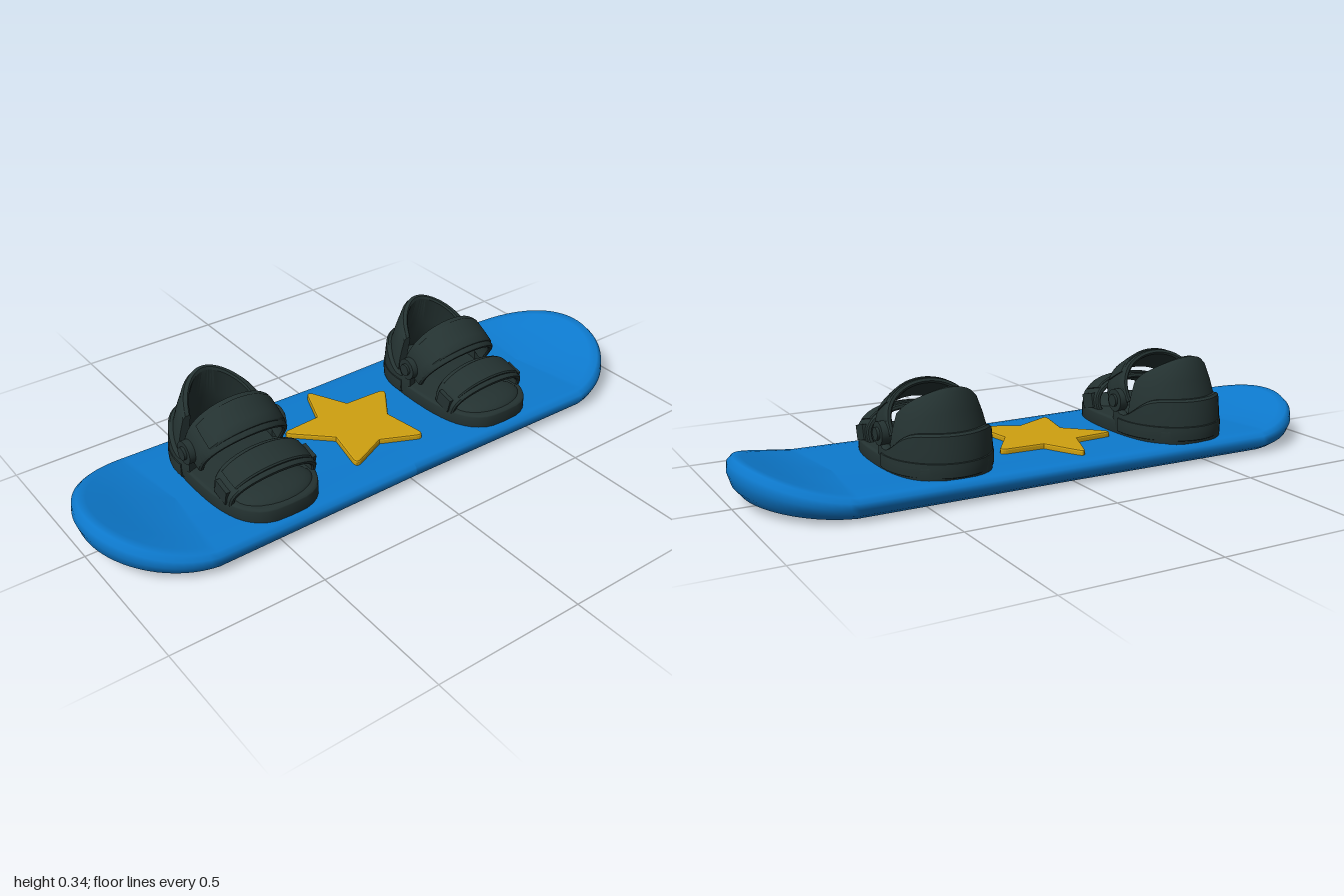
import * as THREE from 'three';
import { toCreasedNormals } from 'three/addons/utils/BufferGeometryUtils.js';

const mat = (name, color) => Object.assign(new THREE.MeshStandardMaterial({ color }), { name });

function part(parent, name, geometry, material, x = 0, y = 0, z = 0) {
  const m = new THREE.Mesh(geometry, material);
  m.name = name;
  m.position.set(x, y, z);
  parent.add(m);
  return m;
}

// Chamfered cross-section: a runs across the band, b through its thickness
const SECTION = [[-1, -0.5], [-0.92, -1], [0, -1], [0.92, -1], [1, -0.5],
  [1, 0.5], [0.9, 1], [0.4, 1.1], [0, 1.15], [-0.4, 1.1], [-0.9, 1], [-1, 0.5]];

// Closed solid swept through steps of u (0..1); f(u, a, b) returns [x, y, z]
function sweep(steps, f) {
  const k = SECTION.length, pos = [], idx = [];
  for (let i = 0; i <= steps; i++) for (const [a, b] of SECTION) pos.push(...f(i / steps, a, b));
  for (let i = 0; i < steps; i++) {
    for (let j = 0; j < k; j++) {
      const p = i * k + j, q = i * k + (j + 1) % k;
      idx.push(p, q, p + k, q, q + k, p + k);
    }
  }
  const end = steps * k;
  for (let j = 1; j < k - 1; j++) idx.push(0, j + 1, j, end, end + j, end + j + 1);
  // Turn the faces outward if the volume comes out negative
  let volume = 0;
  const v = (i) => new THREE.Vector3().fromArray(pos, idx[i] * 3);
  for (let i = 0; i < idx.length; i += 3) volume += v(i).dot(v(i + 1).cross(v(i + 2)));
  if (volume < 0) idx.reverse();
  const g = new THREE.BufferGeometry();
  g.setAttribute('position', new THREE.Float32BufferAttribute(pos, 3));
  g.setIndex(idx);
  return toCreasedNormals(g, 0.65);
}

// Arched strap over the foot, narrowing towards its ends
function strap(rx, ry, width, thick, u0, u1) {
  return sweep(28, (u, a, b) => {
    const th = Math.PI * (u0 + (u1 - u0) * u), s = Math.sin(th), c = Math.cos(th);
    const up = Math.sign(s) * Math.abs(s) ** 0.85;
    const w = width / 2 * (0.78 + 0.22 * Math.max(0, s));
    return [c * (rx + b * thick), up * (ry + b * thick), a * w];
  });
}

// Upright U-shaped wall around the heel; shape(y) returns [rx, rz]
function heelWall(zc, extra, y0, top, thick, shape) {
  return sweep(32, (u, a, b) => {
    const th = -extra + (Math.PI + 2 * extra) * u;
    const y = y0 + (a + 1) / 2 * (top(th) - y0);
    const [rx, rz] = shape(y);
    return [Math.cos(th) * (rx + b * thick), y, zc - Math.sin(th) * (rz + b * thick)];
  });
}

function board() {
  const profile = [[0, 0], [0.1, 0], [0.18, 0], [0.235, 0], [0.27, 0.004], [0.294, 0.018], [0.306, 0.038],
    [0.303, 0.055], [0.288, 0.067], [0.26, 0.071], [0.2, 0.07], [0.1, 0.07], [0, 0.07]];
  const seg = 72, n = profile.length;
  const g = new THREE.LatheGeometry(profile.map((p) => new THREE.Vector2(...p)), seg);
  const p = g.attributes.position;
  for (let i = 0; i < p.count; i++) {
    // Stretch the disc into a long board, then raise the tips
    const s = Math.sin(Math.floor(i / n) / seg * Math.PI * 2);
    const side = Math.abs(s) < 1e-6 ? 0 : Math.sign(s);
    const x = p.getX(i) + side * 0.694, y = p.getY(i);
    const t = Math.max(0, (Math.abs(x) - 0.66) / 0.34);
    const lift = (x > 0 ? 0.088 : 0.078) * t ** 1.8 * (0.3 + 0.7 * y / 0.07);
    p.setXYZ(i, x, y + lift, p.getZ(i) * (side ? 1 : 0.965));
  }
  g.computeVertexNormals();
  return g;
}

function star() {
  const tips = [[-0.05, 0.25], [0.18, 0.1], [0.115, -0.2], [-0.165, -0.2], [-0.26, 0.085]];
  const notches = [[0.02, 0.105], [0.09, -0.03], [-0.025, -0.135], [-0.13, -0.04], [-0.11, 0.095]];
  const mix = (p, q, t) => [p[0] + (q[0] - p[0]) * t, p[1] + (q[1] - p[1]) * t];
  const s = new THREE.Shape();
  tips.forEach((tip, i) => {
    const before = notches[(i + 4) % 5], after = notches[i];
    if (i === 0) s.moveTo(...before);
    s.lineTo(...mix(tip, before, 0.22));
    s.quadraticCurveTo(...tip, ...mix(tip, after, 0.22));
    s.lineTo(...after);
  });
  const g = new THREE.ExtrudeGeometry(s, { depth: 0.012, bevelThickness: 0.006, bevelSize: 0.006,
    bevelOffset: -0.006, bevelSegments: 2, curveSegments: 6 });
  return g.rotateX(-Math.PI / 2);
}

function basePlate() {
  const pts = [];
  for (let i = 0; i < 44; i++) {
    const t = i / 44 * Math.PI * 2, c = Math.cos(t), s = Math.sin(t);
    pts.push(new THREE.Vector2(0.162 * Math.sign(c) * Math.abs(c) ** 0.6, 0.272 * Math.sign(s) * Math.abs(s) ** 0.8));
  }
  const g = new THREE.ExtrudeGeometry(new THREE.Shape(pts), { depth: 0.04, bevelThickness: 0.008,
    bevelSize: 0.008, bevelSegments: 3 });
  return toCreasedNormals(g.rotateX(-Math.PI / 2), 0.7);
}

function binding(name, rubber) {
  const g = new THREE.Group();
  g.name = name;
  part(g, 'basePlate', basePlate(), rubber, 0, 0.07, 0);
  const toe = part(g, 'toePad', new THREE.SphereGeometry(1, 28, 14), rubber, 0, 0.108, 0.175);
  toe.scale.set(0.135, 0.038, 0.09);

  // Heel cup with lower, forward-reaching arms, and a rim band
  part(g, 'heelCup', heelWall(-0.09, 0.3, 0.08, (th) => 0.214 - 0.07 * Math.abs(Math.cos(th)) ** 10, 0.014,
    (y) => [0.158, 0.19 - 0.12 * (y - 0.08)]), rubber);
  part(g, 'heelRim', heelWall(-0.09, 0.1, 0.08, () => 0.128, 0.008,
    () => [0.168, 0.195]), rubber);

  // Highback narrowing and leaning forward as it rises
  const lean = (y) => {
    const t = (y - 0.1) / 0.245;
    return [0.146 - 0.062 * t * t, 0.17 - 0.065 * t];
  };
  part(g, 'highback', heelWall(-0.107, 0, 0.1,
    (th) => 0.262 + 0.082 * Math.max(0, Math.sin(th)) ** 0.8, 0.013, lean), rubber);

  // Ankle and toe straps, each with a thicker centre pad
  const straps = [
    ['ankle', 0.143, 0.135, 0.14, 0.185, -0.03, 0.52, 0.06],
    ['toe', 0.145, 0.088, 0.122, 0.13, 0.137, 0.25, 0.1],
  ];
  for (const [label, rx, ry, w, y, z, tilt, over] of straps) {
    const band = part(g, label + 'Strap', strap(rx, ry - 0.009, w, 0.009, -over, 1 + over), rubber, 0, y, z);
    const pad = part(g, label + 'StrapPad', strap(rx + 0.002, ry + 0.001, w * 0.76, 0.008, 0.16, 0.84), rubber, 0, y, z);
    band.rotation.x = pad.rotation.x = tilt;
  }

  // Pivot knobs and toe buckles on both sides
  for (const side of [-1, 1]) {
    const knob = part(g, 'pivotKnob', new THREE.CylinderGeometry(0.038, 0.038, 0.03, 24), rubber, side * 0.158, 0.182, -0.046);
    const cap = part(g, 'pivotCap', new THREE.CylinderGeometry(0.021, 0.021, 0.012, 20), rubber, side * 0.176, 0.182, -0.046);
    knob.rotation.z = cap.rotation.z = Math.PI / 2;
    const buckle = part(g, 'toeBuckle', new THREE.BoxGeometry(0.02, 0.05, 0.06), rubber, side * 0.15, 0.14, 0.14);
    buckle.rotation.x = 0.25;
  }
  return g;
}

export function createModel() {
  const model = new THREE.Group();
  model.name = 'snowboard';
  const blue = mat('boardBlue', 0x0d7ace);
  const yellow = mat('starYellow', 0xcfa010);
  const rubber = mat('bindingDark', 0x243231);

  part(model, 'board', board(), blue);
  part(model, 'starPad', star(), yellow, 0, 0.07, 0);

  const right = binding('rightBinding', rubber);
  right.position.set(-0.455, 0, -0.005);
  const left = binding('leftBinding', rubber);
  left.position.set(0.39, 0, 0.005);
  left.scale.set(0.98, 0.975, 0.97);
  model.add(right, left);
  return model;
}
